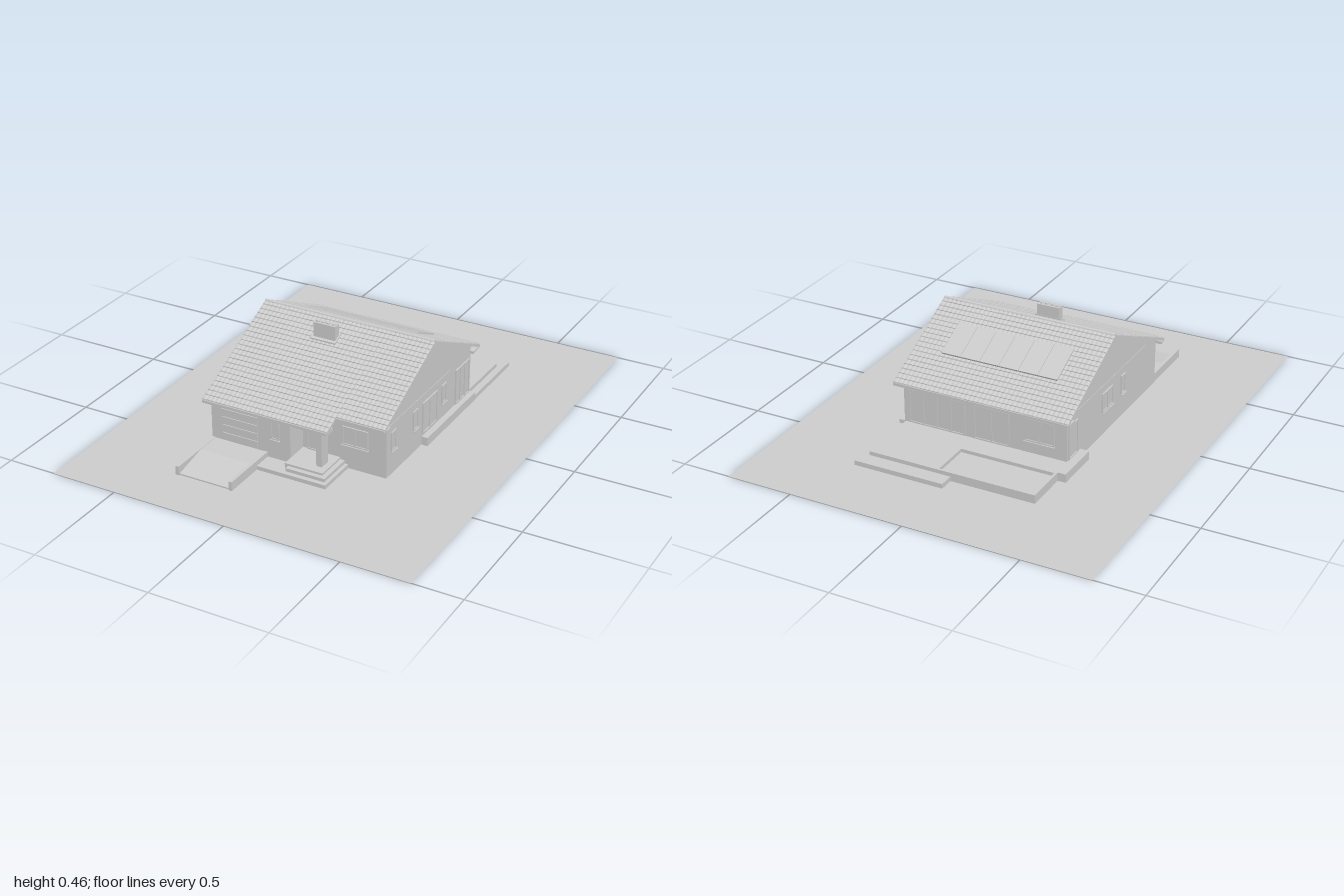
import * as THREE from 'three';
import { ParametricGeometry } from 'three/addons/geometries/ParametricGeometry.js';

const material = new THREE.MeshStandardMaterial({ color: 0xcccccc, flatShading: true });
const thin = new THREE.MeshStandardMaterial({ color: 0xcccccc, flatShading: true, side: THREE.DoubleSide });

// Main levels: floor height, ridge and the two roof pitches
const FLOOR = 0.04, RIDGE_Z = 0.025, RIDGE_Y = 0.438, FRONT = 0.46, BACK = 0.475;
const roofY = z => RIDGE_Y - (z > RIDGE_Z ? (z - RIDGE_Z) * FRONT : (RIDGE_Z - z) * BACK);

export function createModel() {
  const house = new THREE.Group();
  house.name = 'house';

  const add = (name, geometry, parent = house, mat = material) => {
    const mesh = new THREE.Mesh(geometry, mat);
    mesh.name = name;
    parent.add(mesh);
    return mesh;
  };
  // Box given by its limits on each axis
  const box = (name, x0, x1, y0, y1, z0, z1, parent) => {
    const mesh = add(name, new THREE.BoxGeometry(x1 - x0, y1 - y0, z1 - z0), parent);
    mesh.position.set((x0 + x1) / 2, (y0 + y1) / 2, (z0 + z1) / 2);
    return mesh;
  };
  // Cross-section of [z, y] points swept from x0 to x1
  const sweep = (name, x0, x1, points) => {
    const shape = new THREE.Shape(points.map(p => new THREE.Vector2(...p)));
    const g = new THREE.ExtrudeGeometry(shape, { depth: x1 - x0, bevelEnabled: false });
    return add(name, g.rotateY(-Math.PI / 2).translate(x1, 0, 0));
  };
  const rect = (T, x0, y0, x1, y1) => new T([[x0, y0], [x1, y0], [x1, y1], [x0, y1]].map(p => new THREE.Vector2(...p)));

  // Framed window or door; side picks the wall, a0..a1 runs along it
  const walls = {
    front: [0, a => [a, 0.405]], garage: [0, a => [a, 0.505]], back: [Math.PI, a => [a, -0.345]],
    left: [Math.PI / 2, a => [0.375, a]], right: [-Math.PI / 2, a => [-0.365, a]],
  };
  const opening = (name, side, a0, a1, y0, y1, panes = 1) => {
    const group = new THREE.Group(), w = a1 - a0, h = y1 - y0, f = 0.006;
    const [turn, place] = walls[side], [x, z] = place((a0 + a1) / 2);
    const shape = rect(THREE.Shape, -w / 2, 0, w / 2, h);
    const pane = (w - f) / panes;
    for (let i = 0; i < panes; i++) {
      const left = -w / 2 + f + i * pane;
      shape.holes.push(rect(THREE.Path, left, f, left + pane - f, h - f));
    }
    add('frame', new THREE.ExtrudeGeometry(shape, { depth: 0.006, bevelEnabled: false }), group);
    box('pane', -w / 2 + f / 2, w / 2 - f / 2, f / 2, h - f / 2, -0.002, 0.002, group);
    if (!name.includes('Door')) box('sill', -w / 2 - 0.003, w / 2 + 0.003, -0.005, 0, 0, 0.011, group);
    group.name = name;
    group.position.set(x, y0, z);
    group.rotation.y = turn;
    house.add(group);
  };

  // Plot
  add('ground', new THREE.PlaneGeometry(1.58, 2).rotateX(-Math.PI / 2), house, thin);

  // Gabled body and the garage bay that projects at the front
  const under = z => roofY(z) - 0.012;
  sweep('mainWalls', -0.365, 0.375, [[0.405, 0], [0.405, under(0.405)], [RIDGE_Z, under(RIDGE_Z)], [-0.345, under(-0.345)], [-0.345, 0]]);
  sweep('garageBay', -0.365, 0, [[0.505, 0], [0.505, under(0.505)], [0.4, under(0.4)], [0.4, 0]]);
  box('leftGableTrim', 0.375, 0.377, 0.222, 0.226, -0.15, 0.4);
  box('rightGableTrim', -0.367, -0.365, 0.222, 0.226, -0.34, 0.4);

  // Porch
  box('porchPillar', 0.12, 0.145, FLOOR, 0.2, 0.46, 0.51);
  box('porchBeam', 0, 0.17, 0.188, 0.204, 0.465, 0.505);
  box('porchFloor', 0, 0.17, 0, FLOOR, 0.4, 0.55);
  box('upperStep', 0.015, 0.19, 0, 0.031, 0.4, 0.57);
  box('lowerStep', -0.105, 0.205, 0, 0.017, 0.4, 0.59);

  // Garage door with stacked slats
  for (let i = 0; i < 4; i++) {
    const y = FLOOR + i * 0.036;
    box('garageDoorSlat', -0.315, -0.15, y, y + 0.033, 0.5, 0.509);
  }

  // Windows and doors
  opening('garageWindow', 'garage', -0.087, -0.048, 0.105, 0.19);
  opening('frontDoor', 'front', 0.022, 0.088, FLOOR, 0.187);
  opening('frontWindow', 'front', 0.18, 0.295, 0.105, 0.187, 2);
  for (const z of [0.35, 0.163, -0.092]) opening('leftWindow', 'left', z - 0.02, z + 0.02, 0.105, 0.19);
  opening('leftDoubleDoor', 'left', -0.03, 0.1, 0.05, 0.19, 2);
  opening('leftCornerDoor', 'left', -0.33, -0.2, FLOOR, 0.2, 3);
  opening('rightWideWindow', 'right', -0.03, 0.07, 0.105, 0.19, 2);
  opening('rightNarrowWindow', 'right', 0.15, 0.19, 0.105, 0.19);
  opening('rightDoor', 'right', -0.335, -0.255, FLOOR, 0.19);
  opening('terraceDoorWide', 'back', 0.09, 0.35, FLOOR, 0.19, 4);
  opening('terraceDoor', 'back', -0.11, 0.05, FLOOR, 0.19, 2);
  opening('backWindow', 'back', -0.31, -0.18, 0.09, 0.19, 2);

  // Roof boards; the front eave is shorter over the left part
  const t = 0.013;
  const slab = (name, x0, x1, za, zb) =>
    sweep(name, x0, x1, [[za, roofY(za)], [zb, roofY(zb)], [zb, roofY(zb) - t], [za, roofY(za) - t]]);
  slab('frontRoofBoard', -0.395, 0.175, RIDGE_Z, 0.522);
  slab('frontRoofBoardShort', 0.175, 0.39, RIDGE_Z, 0.45);
  slab('backRoofBoard', -0.395, 0.39, -0.4, RIDGE_Z);

  // Wavy tiles laid in stepped courses
  const tiles = (name, x0, x1, eave) => {
    const dir = Math.sign(eave - RIDGE_Z), rows = Math.round(Math.abs(eave - RIDGE_Z) / 0.0225);
    const columns = Math.round((x1 - x0) / 0.02);
    const surface = (u, v, target) => {
      const j = Math.round(v * rows * 2);
      const z = RIDGE_Z + (eave - RIDGE_Z) * Math.ceil(j / 2) / rows;
      const lift = (j % 2 ? 0.005 : 0.001) + 0.002 * Math.abs(Math.sin(Math.PI * u * columns));
      target.set(dir > 0 ? x1 + (x0 - x1) * u : x0 + (x1 - x0) * u, roofY(z) + lift, z);
    };
    add(name, new ParametricGeometry(surface, columns * 4, rows * 2), house, thin);
  };
  tiles('frontTiles', -0.395, 0.175, 0.525);
  tiles('frontTilesShort', 0.175, 0.39, 0.453);
  tiles('backTiles', -0.395, 0.39, -0.403);
  const cap = add('ridgeCap', new THREE.CylinderGeometry(0.008, 0.008, 0.785, 8).rotateZ(Math.PI / 2));
  cap.position.set(-0.0025, RIDGE_Y, RIDGE_Z);

  // Soffits and gutters along the eaves
  const eave = (x0, x1, z, wall) => {
    const out = Math.sign(z), y = roofY(z) - t;
    sweep('soffit', x0, x1, [[z, y + 0.004], [z, y], [wall, y - 0.008], [wall, y + 0.004]]);
    box('gutter', x0, x1, y - 0.001, y + 0.011, Math.min(z, z + out * 0.006), Math.max(z, z + out * 0.006));
  };
  eave(-0.395, 0.175, 0.521, 0.5);
  eave(0.175, 0.39, 0.449, 0.4);
  eave(-0.395, 0.39, -0.398, -0.34);

  // Chimney with collar and flue pots
  box('chimney', -0.1, 0, 0.37, 0.458, 0.108, 0.142);
  sweep('chimneyCollar', -0.11, 0.005, [[0.1, roofY(0.1)], [0.1, roofY(0.1) + 0.011], [0.152, roofY(0.152) + 0.011], [0.152, roofY(0.152)]]);
  for (let i = 0; i < 4; i++) {
    add('fluePot', new THREE.CylinderGeometry(0.009, 0.009, 0.006, 12)).position.set(-0.086 + i * 0.024, 0.46, 0.125);
  }

  // Solar panels on the back slope
  const solar = new THREE.Group();
  solar.name = 'solarPanels';
  solar.position.set(-0.0025, roofY(-0.16) + 0.01, -0.16);
  solar.rotation.x = -Math.atan(BACK);
  for (let i = 0; i < 6; i++) {
    const x = -0.2625 + i * 0.0875;
    box('solarPanel', x, x + 0.0855, -0.005, 0.003, -0.083, 0.083, solar);
  }
  house.add(solar);

  // Driveway: level apron, then a ramp between two kerbs
  sweep('driveway', -0.35, -0.12, [[0.5, 0], [0.5, 0.037], [0.615, 0.037], [0.77, 0.006], [0.77, 0]]);
  box('kerb', -0.365, -0.35, 0, 0.039, 0.5, 0.775);
  box('kerb', -0.12, -0.105, 0, 0.039, 0.5, 0.775);

  // Back terrace with a sunken bed, lower step and side paths
  const deck = rect(THREE.Shape, -0.37, 0.34, 0.37, 0.63);
  deck.holes.push(rect(THREE.Path, -0.36, 0.445, 0.055, 0.62));
  add('terrace', new THREE.ExtrudeGeometry(deck, { depth: 0.037, bevelEnabled: false }).rotateX(-Math.PI / 2));
  box('sunkenBed', -0.36, 0.055, 0, 0.022, -0.62, -0.445);
  box('terraceStep', 0, 0.4, 0, 0.02, -0.695, -0.34);
  box('leftPath', 0.37, 0.402, 0, 0.037, -0.345, 0.1);
  box('rightLanding', -0.405, -0.36, 0, 0.037, -0.435, -0.225);

  return house;
}
